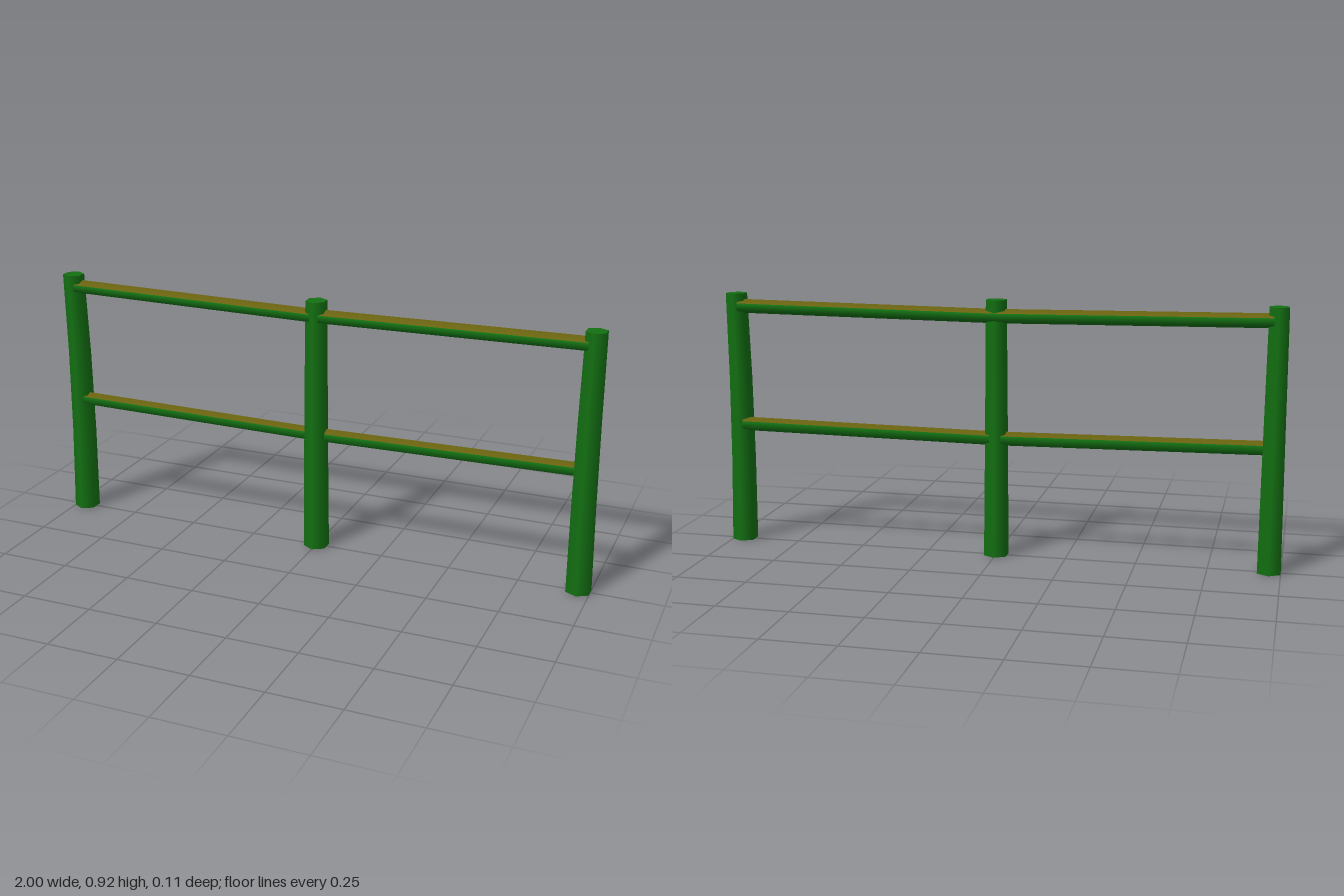
import * as THREE from 'three';

const green = new THREE.MeshStandardMaterial({ color: 0x137013 });
const olive = new THREE.MeshStandardMaterial({ color: 0x6b6410 });

// Shift every vertex of a geometry by a rule.
function bend(geometry, rule) {
  const p = geometry.attributes.position;
  const v = new THREE.Vector3();
  for (let i = 0; i < p.count; i++) {
    v.fromBufferAttribute(p, i);
    rule(v);
    p.setXYZ(i, v.x, v.y, v.z);
  }
  return geometry;
}

// Tapered six-sided post, bowed along z in its middle third.
function makePost(name, x, bow) {
  const height = 0.915;
  const geometry = new THREE.CylinderGeometry(0.038, 0.046, height, 6, 3);
  geometry.translate(0, height / 2, 0);
  bend(geometry, (v) => {
    if (v.y > 0.1 && v.y < 0.8) v.z += bow;
  });
  const post = new THREE.Mesh(geometry, green);
  post.name = name;
  post.position.x = x;
  return post;
}

// Six-sided rail with a ridge on top, sagging slightly at the centre post.
function makeRail(name, y, depth) {
  const rail = new THREE.Group();
  rail.name = name;
  const radius = 0.025;
  const addFaces = (part, sides, start, material) => {
    const geometry = new THREE.CylinderGeometry(
      radius, radius, 1.89, sides, 2, false, start, sides * Math.PI / 3);
    geometry.rotateZ(Math.PI / 2);
    geometry.scale(1, 1, depth / (radius * Math.sqrt(3)));
    bend(geometry, (v) => { v.y += 0.011 * Math.abs(v.x) / 0.945; });
    const mesh = new THREE.Mesh(geometry, material);
    mesh.name = part;
    rail.add(mesh);
  };
  addFaces('railTop', 2, Math.PI / 6, olive);
  addFaces('railBody', 4, Math.PI * 5 / 6, green);
  rail.position.set(0, y, -0.005);
  return rail;
}

export function createModel() {
  const fence = new THREE.Group();
  fence.name = 'fence';
  fence.add(
    makePost('rightPost', -0.96, -0.011),
    makePost('centrePost', 0, 0.002),
    makePost('leftPost', 0.96, 0.013),
    makeRail('upperRail', 0.858, 0.07),
    makeRail('lowerRail', 0.426, 0.048),
  );
  return fence;
}
